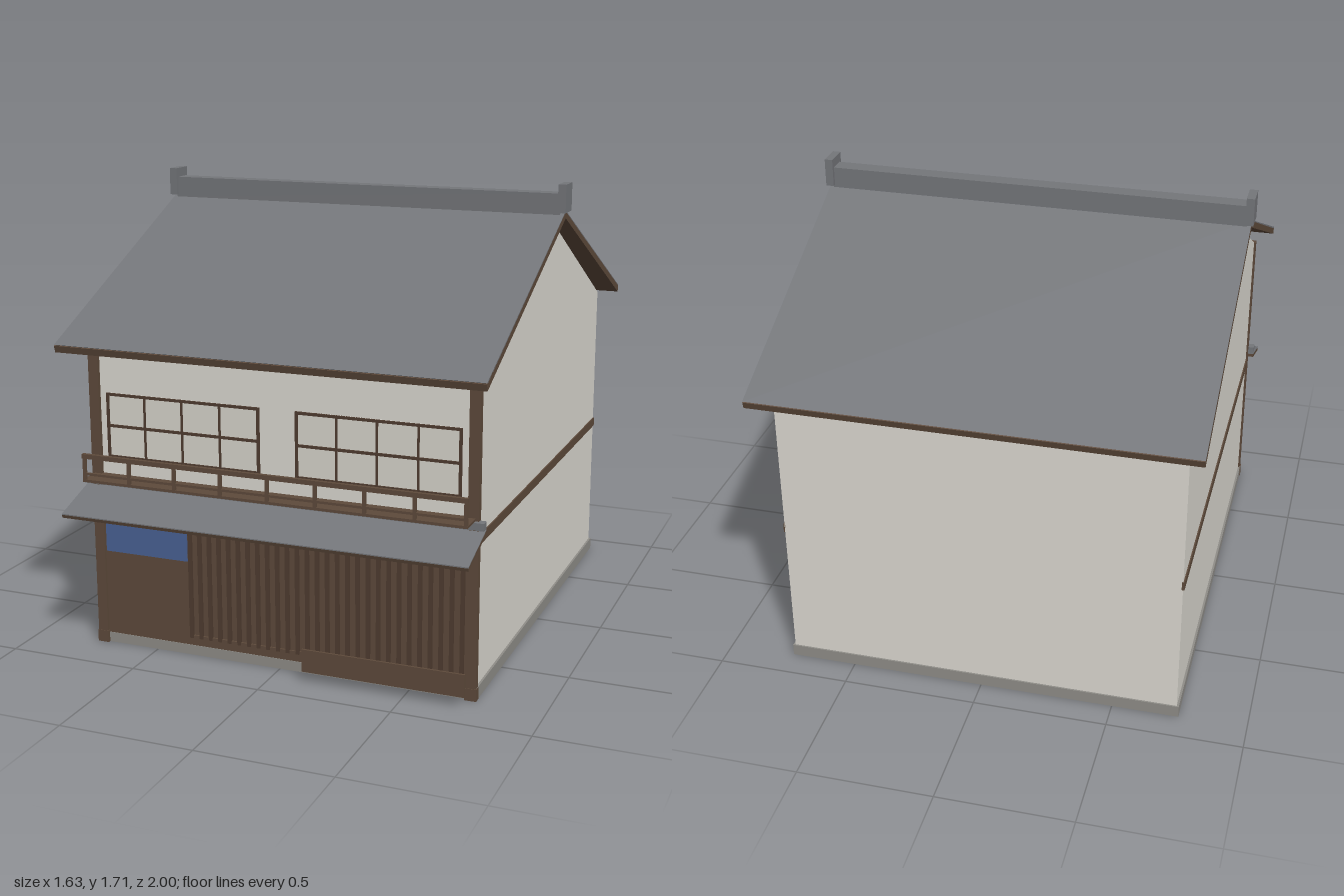
import * as THREE from 'three';

const mat = (color, extra = {}) => new THREE.MeshStandardMaterial({ color, ...extra });
const wall = mat(0xdcd9d1), wood = mat(0x5e4a3b), darkWood = mat(0x4f3c30), tile = mat(0x74767a);
const stone = mat(0x8f8d88), cloth = mat(0x4a6294), paper = mat(0xd8d5cd);

export function createModel() {
  const house = new THREE.Group();
  house.name = 'townHouse';

  const add = (name, geometry, material, parent = house) => {
    const mesh = new THREE.Mesh(geometry, material);
    mesh.name = name;
    parent.add(mesh);
    return mesh;
  };
  // Box given by its limits on each axis
  const box = (name, [x0, x1], [y0, y1], [z0, z1], material, parent) => {
    const g = new THREE.BoxGeometry(x1 - x0, y1 - y0, z1 - z0);
    g.translate((x0 + x1) / 2, (y0 + y1) / 2, (z0 + z1) / 2);
    return add(name, g, material, parent);
  };
  // Side profile of [z, y] points, stretched along x
  const prism = (name, points, width, material, parent) => {
    const shape = new THREE.Shape(points.map(([z, y]) => new THREE.Vector2(z, y)));
    const g = new THREE.ExtrudeGeometry(shape, { depth: width, bevelEnabled: false });
    g.translate(0, 0, -width / 2).rotateY(-Math.PI / 2);
    return add(name, g, material, parent);
  };
  const group = (name) => {
    const g = new THREE.Group();
    g.name = name;
    house.add(g);
    return g;
  };

  // Plastered body with gable ends
  const RIDGE = -0.0275;
  prism('body', [[0.8, 0.035], [0.8, 1.155], [RIDGE, 1.588], [-0.89, 1.155], [-0.89, 0.035]], 1.48, wall);

  // Stone footing, an open ring under the body
  const footing = group('footing');
  box('footingFront', [-0.748, 0.748], [0, 0.038], [0.79, 0.806], stone, footing);
  box('footingBack', [-0.748, 0.748], [0, 0.045], [-0.896, -0.88], stone, footing);
  for (const s of [-1, 1]) {
    const x = s * 0.74;
    box('footingSide', [x - 0.008, x + 0.008], [0, 0.045], [-0.896, 0.806], stone, footing);
  }

  // Belt boards and corner posts
  for (const s of [-1, 1]) {
    const x = s * 0.74;
    box('beltBoard', [x - 0.005, x + 0.005], [0.565, 0.6], [-0.89, 0.805], wood);
    const p = s * 0.7275;
    box('cornerPost', [p - 0.0195, p + 0.0195], [0, 1.158], [0.79, 0.815], wood);
    box('postBase', [p - 0.022, p + 0.022], [0, 0.045], [0.79, 0.817], stone).material = wood;
  }

  // Main roof: timber boards below, thin tile layer above
  const roof = group('roof');
  const chevron = (name, top, bottom, material) => prism(name, [
    [0.945, 1.168 + top], [RIDGE, 1.606 + top], [-1, 1.168 + top],
    [-0.993, 1.168 + bottom], [RIDGE, 1.606 + bottom], [0.938, 1.168 + bottom],
  ], 1.61, material, roof);
  chevron('roofBoards', 0, -0.025, wood);
  chevron('roofTiles', 0.004, 0.0002, tile);
  box('ridge', [-0.79, 0.79], [1.595, 1.675], [RIDGE - 0.031, RIDGE + 0.031], tile, roof);
  for (const s of [-1, 1]) {
    const x = s * 0.8;
    box('ridgeEnd', [x - 0.015, x + 0.015], [1.605, 1.71], [RIDGE - 0.045, RIDGE + 0.045], tile, roof);
  }

  // Lean-to roof over the ground floor
  const eave = group('leanToRoof');
  prism('eaveBoards', [[0.8, 0.624], [1, 0.556], [0.996, 0.544], [0.8, 0.611]], 1.54, wood, eave);
  prism('eaveTiles', [[0.8, 0.628], [1, 0.56], [1, 0.5562], [0.8, 0.6242]], 1.54, tile, eave);
  box('eaveRidge', [-0.77, 0.77], [0.63, 0.657], [0.8, 0.832], tile, eave);

  // Balcony deck and railing
  const balcony = group('balcony');
  box('deck', [-0.735, 0.735], [0.657, 0.667], [0.8, 0.903], wood, balcony);
  box('topRail', [-0.735, 0.735], [0.746, 0.763], [0.89, 0.905], wood, balcony);
  box('midRail', [-0.735, 0.735], [0.683, 0.692], [0.893, 0.902], wood, balcony);
  for (let i = 0; i < 9; i++) {
    const x = -0.728 + (i * 1.456) / 8;
    box('railPost', [x - 0.006, x + 0.006], [0.66, 0.75], [0.892, 0.903], wood, balcony);
  }

  // Upper windows, four panes wide and two high
  for (const s of [-1, 1]) {
    const win = group(s < 0 ? 'rightWindow' : 'leftWindow');
    const cx = s * 0.375, w = 0.305;
    box('pane', [cx - w, cx + w], [0.73, 0.975], [0.798, 0.802], paper, win);
    for (let i = 0; i <= 4; i++) {
      const x = cx - 0.301 + i * 0.1505, t = i % 4 ? 0.0035 : 0.005;
      box('mullion', [x - t, x + t], [0.73, 0.975], [0.8, 0.808], darkWood, win);
    }
    for (const y of [0.735, 0.852, 0.97]) {
      box('transom', [cx - w, cx + w], [y - 0.005, y + 0.005], [0.8, 0.808], darkWood, win);
    }
  }

  // Ground floor front: boarding, lattice, entrance curtain
  box('frontBoards', [-0.71, 0.71], [0.038, 0.61], [0.795, 0.804], wood);
  const lattice = group('lattice');
  for (const y of [0.074, 0.52]) {
    box('latticeRail', [-0.36, 0.7], [y - 0.006, y + 0.006], [0.8, 0.811], wood, lattice);
  }
  const slats = 28;
  for (let i = 0; i < slats; i++) {
    const x = -0.353 + (i * 1.046) / (slats - 1);
    box('latticeSlat', [x - 0.007, x + 0.007], [0.07, 0.525], [0.8, 0.815], darkWood, lattice);
  }
  box('entranceCurtain', [-0.695, -0.36], [0.37, 0.527], [0.816, 0.822], cloth);

  // Low guard board in front of the lattice
  box('guardBoard', [0.12, 0.728], [0.04, 0.125], [0.876, 0.884], wood);

  return house;
}
